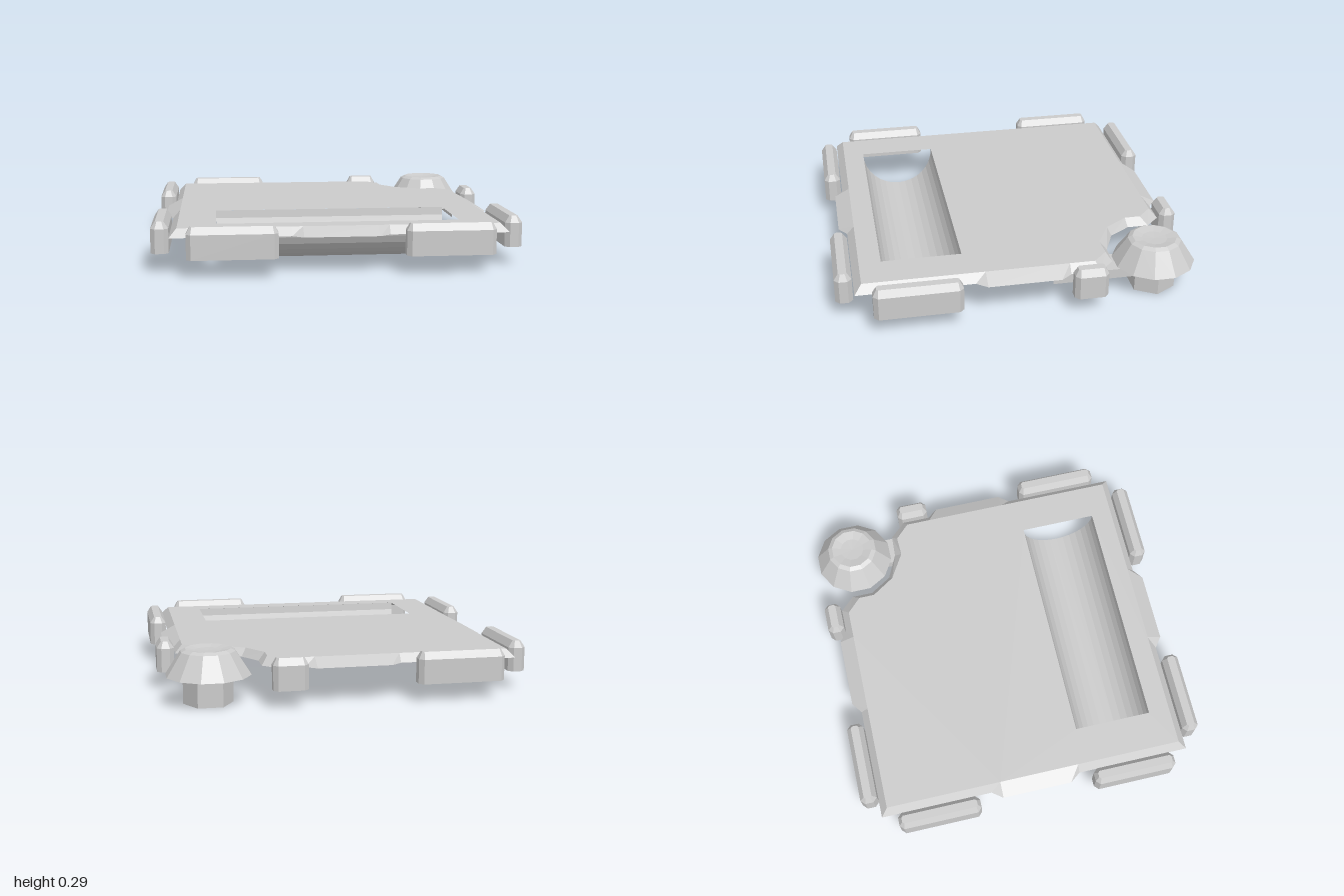
import * as THREE from 'three';

const grey = new THREE.MeshStandardMaterial({ color: 0xcccccc, flatShading: true, side: THREE.DoubleSide });

function add(parent, name, geometry) {
  const mesh = new THREE.Mesh(geometry, grey);
  mesh.name = name;
  parent.add(mesh);
  return mesh;
}

// Flat horizontal face from [x, z] points, with optional holes
function cap(points, y, holes = []) {
  const flip = (list) => list.map(([x, z]) => new THREE.Vector2(x, -z));
  const shape = new THREE.Shape(flip(points));
  for (const hole of holes) shape.holes.push(new THREE.Path(flip(hole)));
  return new THREE.ShapeGeometry(shape).rotateX(-Math.PI / 2).translate(0, y, 0);
}

// Walls joining closed rings of equal point count; each ring is { y, points: [x, z] }
function walls(rings) {
  const positions = [];
  for (let r = 0; r < rings.length - 1; r++) {
    const lo = rings[r], hi = rings[r + 1], n = lo.points.length;
    for (let i = 0; i < n; i++) {
      const j = (i + 1) % n;
      const at = (ring, k) => [ring.points[k][0], ring.y, ring.points[k][1]];
      const a = at(lo, i), b = at(lo, j), c = at(hi, j), d = at(hi, i);
      positions.push(...a, ...b, ...c, ...a, ...c, ...d);
    }
  }
  const geometry = new THREE.BufferGeometry();
  geometry.setAttribute('position', new THREE.Float32BufferAttribute(positions, 3));
  geometry.computeVertexNormals();
  return geometry;
}

// Rectangle with cut corners, counterclockwise from above
function cutRectangle(w, d, cut) {
  const x = w / 2, z = d / 2;
  return [[-x + cut, z], [x - cut, z], [x, z - cut], [x, -z + cut],
    [x - cut, -z], [-x + cut, -z], [-x, -z + cut], [-x, z - cut]];
}

function makePlate(parent) {
  const plate = new THREE.Group();
  plate.name = 'plate';
  parent.add(plate);

  // One side's tab, turned by quarter turns around the plate
  const tabOuter = [[-0.26, 0.9], [-0.2, 0.945], [0.2, 0.945], [0.26, 0.9]];
  const tabInner = [[-0.26, 0.86], [-0.2, 0.86], [0.2, 0.86], [0.26, 0.86]];
  const turn = (points, quarter) => points.map(([x, z]) =>
    [[x, z], [z, -x], [-x, -z], [-z, x]][quarter]);

  // Stepped cut around the domed post replaces the back corner
  const notchOuter = [[0.9, -0.42], [0.815, -0.51], [0.69, -0.515], [0.55, -0.58],
    [0.475, -0.7], [0.475, -0.82], [0.4, -0.9]];
  const notchInner = [[0.86, -0.4], [0.78, -0.48], [0.67, -0.475], [0.525, -0.56],
    [0.44, -0.69], [0.44, -0.78], [0.36, -0.86]];

  const outer = [], inner = [];
  for (let q = 0; q < 4; q++) {
    outer.push(...turn(tabOuter, q));
    inner.push(...turn(tabInner, q));
    if (q === 1) {
      outer.push(...notchOuter);
      inner.push(...notchInner);
    } else {
      outer.push(...turn([[0.9, 0.9]], q));
      inner.push(...turn([[0.86, 0.86]], q));
    }
  }
  const opening = [[-0.655, 0.3], [0.66, 0.3], [0.66, 0.74], [-0.655, 0.74]];
  add(plate, 'plateTop', cap(inner, 0.245, [opening]));
  add(plate, 'plateBevel', walls([{ y: 0.2, points: outer }, { y: 0.245, points: inner }]));

  // Open-ended half-round trough hanging below the opening
  const trough = new THREE.CylinderGeometry(0.22, 0.22, 1.315, 16, 1, true, 0, Math.PI);
  trough.rotateZ(-Math.PI / 2).translate(0.0025, 0.24, 0.52);
  if (trough.boundingBox === null) trough.computeBoundingBox();
  trough.scale(1, 1.02, 1).translate(0, -0.0, 0);
  add(plate, 'trough', trough);
}

// Hollow bumper with cut corners and a chamfered top
function makeBumper(parent, name, x, z, length, alongZ) {
  const bumper = new THREE.Group();
  bumper.name = name;
  const body = cutRectangle(length, 0.095, 0.024);
  const top = cutRectangle(length - 0.04, 0.045, 0.01);
  add(bumper, 'bumperSides', walls([
    { y: 0.1, points: body }, { y: 0.232, points: body }, { y: 0.27, points: top }]));
  add(bumper, 'bumperTop', cap(top, 0.27));
  bumper.position.set(x, 0, z);
  if (alongZ) bumper.rotation.y = Math.PI / 2;
  parent.add(bumper);
}

function makePost(parent) {
  const post = new THREE.Group();
  post.name = 'domedPost';
  post.position.set(0.75, 0, -0.765);
  parent.add(post);

  // Twelve-sided dome with a shallow dish on top
  const profile = [[0.229, 0.155], [0.147, 0.282], [0.122, 0.295], [0.07, 0.285], [0, 0.282]]
    .map(([r, y]) => new THREE.Vector2(r, y));
  add(post, 'dome', new THREE.LatheGeometry(profile, 12, Math.PI / 12));

  // Hexagonal leg
  const leg = new THREE.CylinderGeometry(0.133, 0.133, 0.17, 6, 1, true, Math.PI / 2);
  add(post, 'leg', leg.translate(0.002, 0.085, 0.004));

  // Channel-shaped arm reaching under the plate
  const arm = new THREE.Group();
  arm.name = 'arm';
  post.add(arm);
  add(arm, 'armTop', cap([[-0.08, 0.585], [0.08, 0.585], [0.08, 0], [-0.08, 0]], 0.155));
  for (const side of [-1, 1]) {
    const wall = new THREE.PlaneGeometry(0.475, 0.055).rotateY(side * Math.PI / 2);
    add(arm, 'armSide', wall.translate(side * 0.08, 0.1275, 0.3475));
  }
}

export function createModel() {
  const model = new THREE.Group();
  model.name = 'bumperTray';
  makePlate(model);

  // Two bumpers per side, shorter beside the cut corner
  const edge = 0.9525, mid = 0.572, long = 0.475;
  for (const s of [-1, 1]) {
    makeBumper(model, 'frontBumper', s * mid, edge, long, false);
    makeBumper(model, 'rightBumper', -edge, s * mid, long, true);
  }
  makeBumper(model, 'leftBumper', edge, mid, long, true);
  makeBumper(model, 'backBumper', -mid, -edge, long, false);
  makeBumper(model, 'shortBackBumper', 0.347, -edge, 0.185, false);
  makeBumper(model, 'shortLeftBumper', edge, -0.355, 0.185, true);

  makePost(model);
  return model;
}
